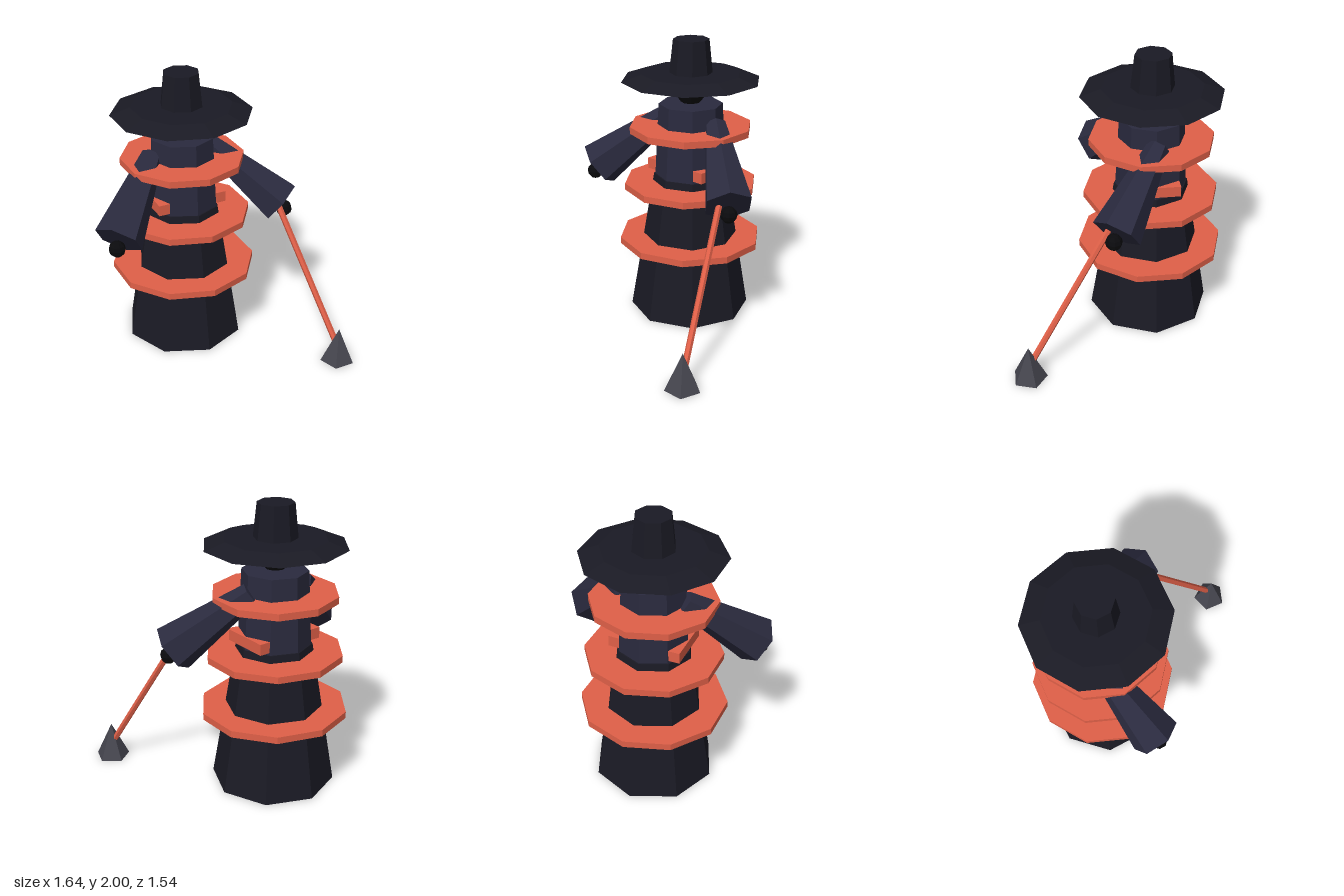
import * as THREE from 'three';

const mat = (color) => new THREE.MeshStandardMaterial({ color, flatShading: true });

export function createModel() {
  const model = new THREE.Group();
  const robe = mat(0x1a1a24), coat = mat(0x2a2a3e), dark = mat(0x0b0b0e);
  const orange = mat(0xe06048), stone = mat(0x45454e);

  const add = (name, geometry, material, x, y, z, parent = model) => {
    const mesh = new THREE.Mesh(geometry, material);
    mesh.name = name;
    mesh.position.set(x, y, z);
    parent.add(mesh);
    return mesh;
  };

  // Tapered rod from a to b, with one corner of its section turned towards +z
  const rod = (name, a, b, ra, rb, sides, material) => {
    const up = a.clone().sub(b);
    const mid = a.clone().add(b).multiplyScalar(0.5);
    const geometry = new THREE.CylinderGeometry(ra, rb, up.length(), sides);
    const mesh = add(name, geometry, material, mid.x, mid.y, mid.z);
    up.normalize();
    const front = new THREE.Vector3(0, 0, 1).addScaledVector(up, -up.z).normalize();
    const side = up.clone().cross(front);
    mesh.quaternion.setFromRotationMatrix(new THREE.Matrix4().makeBasis(side, up, front));
    return mesh;
  };

  // Everything stacked on the upright body axis
  const body = new THREE.Group();
  body.name = 'body';
  body.position.set(-0.07, 0, -0.26);
  model.add(body);
  const stack = (name, y0, y1, rBottom, rTop, sides, material) =>
    add(name, new THREE.CylinderGeometry(rTop, rBottom, y1 - y0, sides), material,
      0, (y0 + y1) / 2, 0, body);

  stack('skirt', 0, 1.03, 0.43, 0.26, 8, robe);
  stack('torso', 1.03, 1.545, 0.25, 0.225, 8, coat);
  stack('hatBrim', 1.715, 1.765, 0.49, 0.35, 10, robe);
  stack('hatCrown', 1.765, 2.0, 0.15, 0.125, 8, robe);
  stack('lowerRing', 0.52, 0.567, 0.512, 0.512, 10, orange);
  stack('middleRing', 0.933, 0.98, 0.474, 0.474, 10, orange);
  stack('upperRing', 1.347, 1.395, 0.434, 0.434, 10, orange);
  add('head', new THREE.SphereGeometry(0.12, 8, 5), dark, 0, 1.655, 0, body);

  // Belt block showing at both hips
  add('belt', new THREE.BoxGeometry(0.51, 0.077, 0.34), orange, 0, 1.087, 0, body);

  for (const s of [-1, 1]) {
    const label = s > 0 ? 'left' : 'right';
    add(label + 'Eye', new THREE.BoxGeometry(0.037, 0.018, 0.022), orange,
      s * 0.052, 1.675, 0.129, body);

    // Wide sleeve and the hand under its cuff
    rod(label + 'Sleeve',
      new THREE.Vector3(-0.07 + s * 0.215, 1.43, -0.275),
      new THREE.Vector3(-0.07 + s * 0.615, 1.03, 0.054), 0.075, 0.17, 6, coat);
    add(label + 'Hand', new THREE.SphereGeometry(0.058, 8, 6), dark,
      -0.07 + s * 0.637, 0.98, 0.075);
  }

  // Staff held in the left hand, ending in a pointed foot
  rod('staff', new THREE.Vector3(0.503, 1.035, 0.1),
    new THREE.Vector3(0.7, 0.13, 0.65), 0.022, 0.022, 6, orange);
  add('staffFoot', new THREE.ConeGeometry(0.122, 0.256, 5), stone,
    0.705, 0.128, 0.67).rotation.y = Math.PI;

  return model;
}
